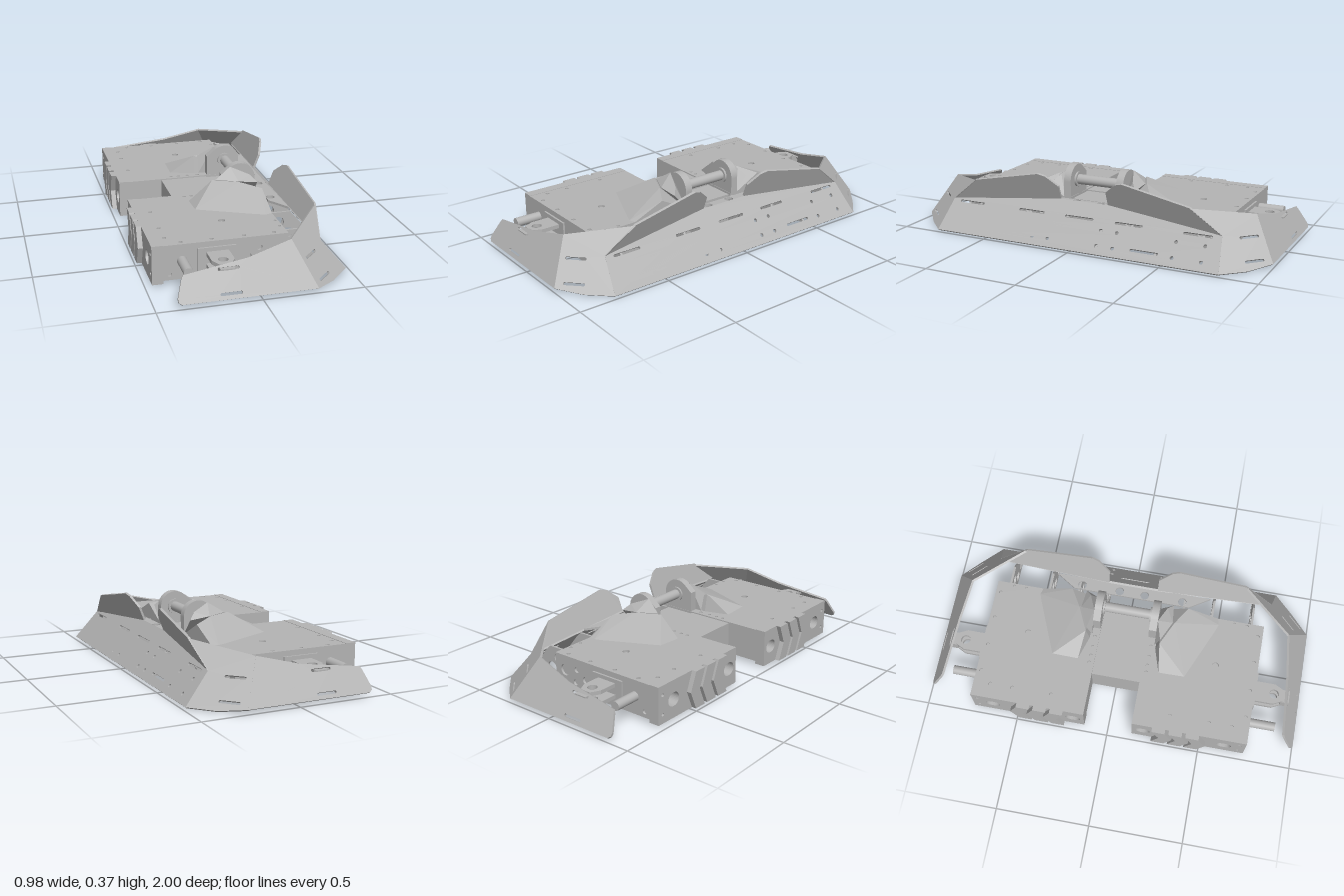
import * as THREE from 'three';
import { ConvexGeometry } from 'three/addons/geometries/ConvexGeometry.js';

const steel = new THREE.MeshStandardMaterial({ color: 0xb4b4b4 });
steel.name = 'steel grey';

const V = (x, y, z) => new THREE.Vector3(x, y, z);

export function createModel() {
  const root = new THREE.Group();
  root.name = 'armouredRobot';

  const add = (name, geometry, parent = root) => {
    const m = new THREE.Mesh(geometry, steel);
    m.name = name;
    parent.add(m);
    return m;
  };

  const box = (name, x0, x1, y0, y1, z0, z1) => {
    const m = add(name, new THREE.BoxGeometry(x1 - x0, y1 - y0, Math.abs(z1 - z0)));
    m.position.set((x0 + x1) / 2, (y0 + y1) / 2, (z0 + z1) / 2);
    return m;
  };

  // Shaft along z
  const shaft = (name, r, x, y, z0, z1) => {
    const g = new THREE.CylinderGeometry(r, r, Math.abs(z1 - z0), 24).rotateX(Math.PI / 2);
    add(name, g).position.set(x, y, (z0 + z1) / 2);
  };

  // Flat plate from its outer corners; thickness runs inward, away from `out`.
  // Each hole is [x, y, z, radius, halfLength], elongated along the plate's level axis.
  function plate(name, corners, out, thick, holes = [], s = 1) {
    const flip = ([x, y, z]) => V(x, y, z * s);
    const pts = corners.map(flip);
    const n = V(0, 0, 0);
    pts.forEach((p, i) => n.add(p.clone().cross(pts[(i + 1) % pts.length])));
    n.normalize();
    if (n.dot(flip(out)) < 0) n.negate();
    const u = Math.abs(n.y) > 0.9 ? V(0, 0, 1) : V(0, 1, 0).cross(n).normalize();
    const v = n.clone().cross(u).normalize();
    const o = pts[0];
    const flat = p => {
      const d = p.clone().sub(o);
      return new THREE.Vector2(d.dot(u), d.dot(v));
    };
    const shape = new THREE.Shape(pts.map(flat));
    for (const [x, y, z, r, half = 0] of holes) {
      const c = flat(flip([x, y, z]));
      const h = new THREE.Path();
      h.absarc(c.x + half, c.y, r, -Math.PI / 2, Math.PI / 2, false);
      h.absarc(c.x - half, c.y, r, Math.PI / 2, Math.PI * 1.5, false);
      shape.holes.push(h);
    }
    const g = new THREE.ExtrudeGeometry(shape, { depth: thick, bevelEnabled: false, curveSegments: 8 });
    g.translate(0, 0, -thick);
    g.applyMatrix4(new THREE.Matrix4().makeBasis(u, v, n).setPosition(o));
    return add(name, g);
  }

  const rect = (x0, x1, z0, z1, y) => [[x0, y, z0], [x1, y, z0], [x1, y, z1], [x0, y, z1]];

  // Chassis core with a rear notch
  const outline = [
    [-0.41, 0.73], [0.19, 0.73], [0.19, -0.73], [-0.41, -0.73],
    [-0.41, -0.13], [-0.23, -0.13], [-0.23, 0.13], [-0.41, 0.13],
  ];
  plate('chassisCore', outline.map(([x, z]) => [x, 0.186, z]), [0, 1, 0], 0.155);

  // Belly plate with access windows and screw holes
  const bellyHoles = [];
  for (const s of [1, -1]) {
    bellyHoles.push([0.05, 0.018, 0.36 * s, 0.045, 0.035], [-0.33, 0.018, 0.43 * s, 0.015, 0.11]);
    for (const x of [-0.2, -0.05, 0.15]) {
      for (const z of [0.08, 0.2, 0.6, 0.7]) bellyHoles.push([x, 0.018, z * s, 0.008]);
    }
  }
  plate('bellyPlate', outline.map(([x, z]) => [x > 0 ? 0.205 : x, 0.018, z * 1.012]),
    [0, -1, 0], 0.013, bellyHoles);

  // Sloped front armour
  const slope = y => 0.489 - 0.833 * y;
  const frontHoles = [[slope(0.145), 0.145, 0, 0.007, 0.075]];
  for (const s of [1, -1]) {
    for (const [y, z] of [[0.145, 0.28], [0.145, 0.65], [0.045, 0.4]])
      frontHoles.push([slope(y), y, z * s, 0.007, 0.07]);
    for (const y of [0.04, 0.105])
      for (const z of [0.14, 0.23, 0.55, 0.7]) frontHoles.push([slope(y), y, z * s, 0.01]);
  }
  plate('frontArmour',
    [[0.005, 0.8], [0.155, 0.77], [0.215, 0.14], [0.215, -0.14], [0.155, -0.77], [0.005, -0.8]]
      .map(([y, z]) => [slope(y), y, z]), [1, 1, 0], 0.012, frontHoles);

  // Shelf behind the front armour
  plate('armourShelf',
    [[0.24, -0.32], [0.31, -0.43], [0.31, 0.43], [0.24, 0.32]].map(([x, z]) => [x, 0.2, z]),
    [0, 1, 0], 0.012, [-0.28, -0.07, 0.07, 0.28].map(z => [0.265, 0.2, z, 0.023]));

  // Centre shaft and deck
  shaft('weaponShaft', 0.027, 0.13, 0.28, -0.14, 0.14);
  box('centreDeck', -0.23, 0.02, 0.184, 0.192, -0.13, 0.13);

  for (const s of [1, -1]) {
    // Upper wing, corner and side armour
    plate('upperWing',
      [[0.31, 0.215, 0.135], [0.36, 0.155, 0.77], [0.39, 0.28, 0.61], [0.375, 0.35, 0.24],
        [0.365, 0.34, 0.2], [0.34, 0.285, 0.135]], [1, -0.3, 0], 0.012, [], s);
    plate('cornerArmour',
      [[0.27, 0.02, 1], [0.38, 0.005, 0.91], [0.485, 0.005, 0.8], [0.36, 0.155, 0.77],
        [0.39, 0.28, 0.61], [0.17, 0.23, 0.88]], [1, 1, 1], 0.012,
      [[0.273, 0.142, 0.878, 0.007, 0.045], [0.326, 0.042, 0.925, 0.007, 0.045]], s);
    const lean = y => 1 - 0.571 * (y - 0.02);
    plate('sideArmour',
      [[-0.38, 0.02], [0.27, 0.02], [0.17, 0.23], [-0.05, 0.175], [-0.36, 0.135], [-0.37, 0.12],
        [-0.396, 0.045], [-0.394, 0.03]].map(([x, y]) => [x, y, lean(y)]), [0, 1, 1], 0.012,
      [[-0.147, 0.142, lean(0.142), 0.007, 0.046], [-0.147, 0.042, lean(0.042), 0.007, 0.046]], s);

    // Top cover with screw holes round its edge
    const coverHoles = [[-0.065, 0.198, 0.515, 0.018]];
    for (const x of [-0.32, -0.17, -0.01, 0.14]) coverHoles.push([x, 0.198, 0.715, 0.01]);
    for (const x of [-0.17, -0.13, -0.08, -0.02]) coverHoles.push([x, 0.198, 0.155, 0.009]);
    for (const z of [0.32, 0.53, 0.65]) coverHoles.push([-0.385, 0.198, z, 0.01]);
    for (const z of [0.58, 0.65]) coverHoles.push([0.19, 0.198, z, 0.008]);
    plate('topCover', rect(-0.465, 0.205, 0.13, 0.742, 0.198), [0, 1, 0], 0.013, coverHoles, s);

    // Perforated front wall and end wall
    plate('frontWall',
      [[0.205, 0.02, 0.13], [0.205, 0.186, 0.13], [0.205, 0.186, 0.742], [0.205, 0.02, 0.742]],
      [1, 0, 0], 0.015, [0.2, 0.3, 0.4, 0.5, 0.6, 0.68].map((z, i) => [0.205, 0.1, z, i % 2 ? 0.035 : 0.02]), s);
    plate('endWall',
      [[-0.41, 0.02, 0.742], [0.205, 0.02, 0.742], [0.205, 0.186, 0.742], [-0.41, 0.186, 0.742]],
      [0, 0, 1], 0.012,
      [[0.14, 0.12, 0.742, 0.03], [0.07, 0.07, 0.742, 0.015], [0.06, 0.14, 0.742, 0.015],
        [0.0, 0.1, 0.742, 0.02], [-0.38, 0.05, 0.742, 0.012]], s);

    // Rear bumper with openings and chevron ribs
    plate('rearBumper',
      [[-0.465, 0.003, 0.13], [-0.465, 0.2, 0.13], [-0.465, 0.2, 0.742], [-0.465, 0.003, 0.742]],
      [-1, 0, 0], 0.055,
      [[-0.465, 0.1, 0.19, 0.035, 0.005], [-0.465, 0.1, 0.63, 0.035, 0.005],
        [-0.465, 0.05, 0.71, 0.009], [-0.465, 0.15, 0.71, 0.009]], s);
    for (const z of [0.24, 0.33, 0.42])
      plate('rearChevron',
        [[0.004, 0], [0.1, 0.04], [0.2, 0], [0.2, 0.07], [0.1, 0.11], [0.004, 0.07]]
          .map(([y, dz]) => [-0.49, y, z + dz]), [-1, 0, 0], 0.025, [], s);

    // Bearing post with a rounded top
    const post = new THREE.Shape();
    post.moveTo(0.03, 0.19);
    post.lineTo(0.21, 0.19);
    post.lineTo(0.21, 0.28);
    post.absarc(0.128, 0.28, 0.082, 0, Math.PI * 0.7, false);
    post.lineTo(0.03, 0.305);
    const postGeo = new THREE.ExtrudeGeometry(post, { depth: 0.04, bevelEnabled: false, curveSegments: 20 });
    add('bearingPost', postGeo).position.z = s > 0 ? 0.132 : -0.172;
    shaft('bearingCap', 0.04, 0.13, 0.28, 0.122 * s, 0.134 * s);

    // Faceted fairing and its shoulder
    const hull = (name, pts) => add(name, new ConvexGeometry(pts.map(([x, y, z]) => V(x, y, z * s))));
    hull('fairing',
      [[-0.16, 0.197, 0.22], [-0.16, 0.205, 0.36], [0.17, 0.197, 0.5], [0.205, 0.197, 0.49],
        [0.205, 0.197, 0.18], [-0.03, 0.197, 0.18], [-0.03, 0.293, 0.2], [0.1, 0.292, 0.26],
        [0.205, 0.27, 0.32]]);
    hull('fairingShoulder',
      [[-0.01, 0.293, 0.2], [0.075, 0.348, 0.172], [0.17, 0.31, 0.21], [0.205, 0.275, 0.24],
        [0.205, 0.2, 0.172], [-0.01, 0.2, 0.172], [0.1, 0.29, 0.25]]);

    // Side shaft, hinge base and lug
    shaft('sideShaft', 0.024, -0.32, 0.115, 0.73 * s, 0.88 * s);
    box('hingeBase', -0.245, -0.055, 0.05, 0.17, 0.74 * s, 0.752 * s);
    for (const y of [0.09, 0.15])
      plate('hingeLug',
        [[-0.205, 0.75], [-0.205, 0.85], [-0.18, 0.9], [-0.12, 0.9], [-0.095, 0.85], [-0.095, 0.75]]
          .map(([x, z]) => [x, y, z]), [0, 1, 0], 0.02, [[-0.15, y, 0.85, 0.025]], s);
    box('armourMount', -0.185, -0.115, 0.08, 0.14, 0.89 * s, 0.935 * s);

    // Perforated ribs between chassis and front armour
    for (const z of [0.14, 0.3, 0.46, 0.68])
      plate('armourRib',
        [[0.2, 0.03, z], [0.45, 0.02, z], [0.335, 0.16, z], [0.31, 0.185, z], [0.2, 0.185, z]],
        [0, 0, 1], 0.012, [[0.25, 0.13, z, 0.03], [0.3, 0.07, z, 0.03], [0.37, 0.06, z, 0.018]], s);
  }
  return root;
}
